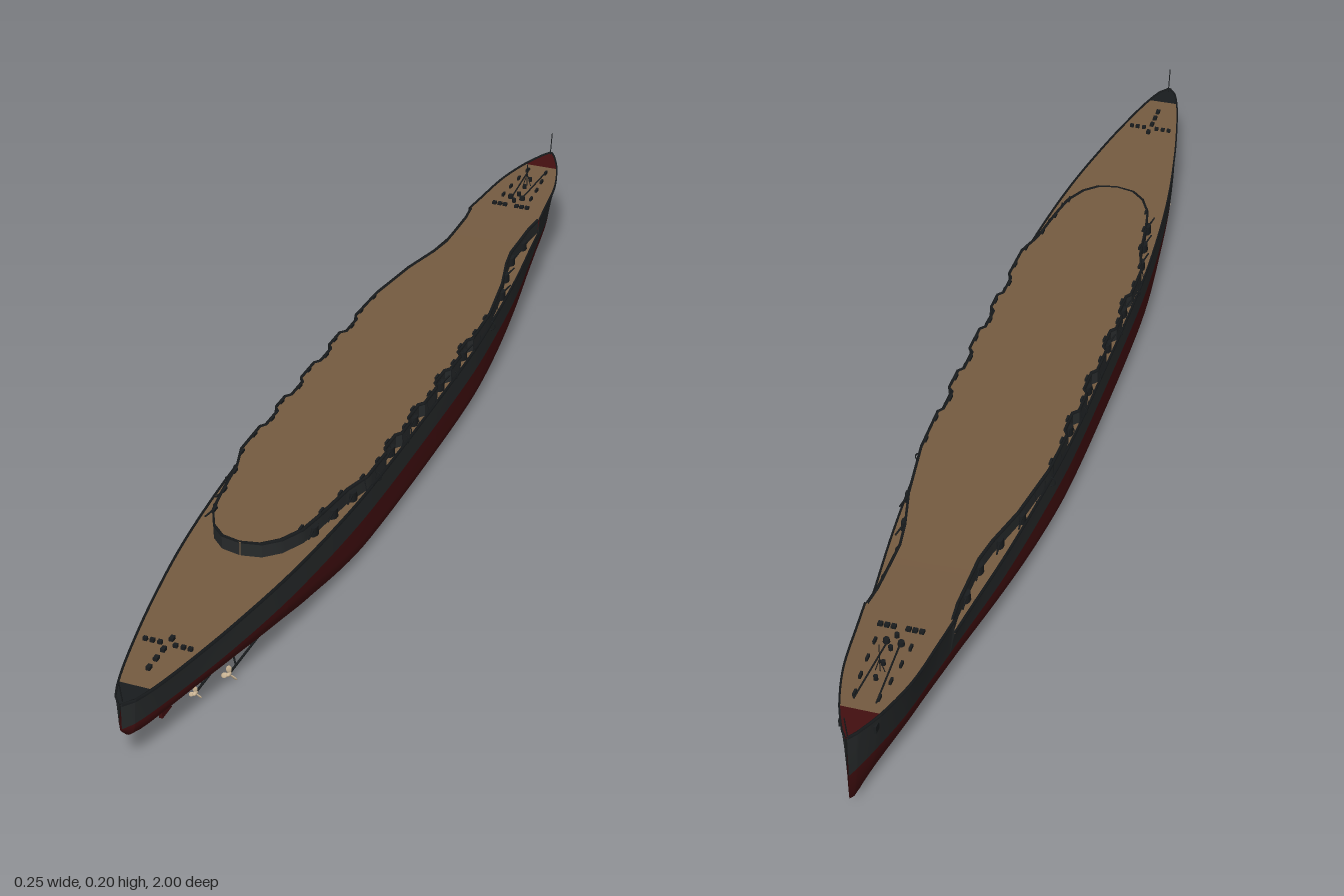
import * as THREE from 'three';
import { toCreasedNormals } from 'three/addons/utils/BufferGeometryUtils.js';

const mat = (name, color, side = THREE.FrontSide) => {
  const m = new THREE.MeshStandardMaterial({ color, side });
  m.name = name;
  return m;
};
const WATERLINE = 0.078, MAIN_DECK = 0.121, STEP = -0.7;

// linear or smooth lookup in a table of [z, value]
function lookup(table, z, smooth = false) {
  const n = table.length;
  if (z <= table[0][0]) return table[0][1];
  if (z >= table[n - 1][0]) return table[n - 1][1];
  let i = 0;
  while (table[i + 1][0] < z) i++;
  const [z0, v0] = table[i], [z1, v1] = table[i + 1], h = z1 - z0, t = (z - z0) / h;
  if (!smooth) return v0 + (v1 - v0) * t;
  const slope = k => {
    const a = table[Math.max(0, k - 1)], b = table[Math.min(n - 1, k + 1)];
    return (b[1] - a[1]) / (b[0] - a[0]);
  };
  const t2 = t * t, t3 = t2 * t;
  return v0 * (2 * t3 - 3 * t2 + 1) + v1 * (3 * t2 - 2 * t3)
    + h * (slope(i) * (t3 - 2 * t2 + t) + slope(i + 1) * (t3 - t2));
}

// hull and deck lines along z (bow at -z)
const BEAM = [[-0.995, 0.002], [-0.98, 0.012], [-0.93, 0.034], [-0.85, 0.056], [-0.75, 0.068], [-0.65, 0.079],
  [-0.5, 0.097], [-0.35, 0.11], [-0.2, 0.119], [0, 0.121], [0.3, 0.119], [0.45, 0.111], [0.6, 0.096],
  [0.75, 0.072], [0.85, 0.052], [0.93, 0.033], [0.98, 0.016], [0.998, 0.002]];
const FLARE = [[-1, 0.55], [-0.85, 0.75], [-0.6, 0.95], [-0.3, 1], [0.5, 1], [0.8, 0.97], [1, 0.8]];
const KEEL = [[-0.995, 0.03], [-0.97, 0.012], [-0.9, 0.005], [-0.82, 0], [0.53, 0], [0.67, 0.014],
  [0.83, 0.036], [0.95, 0.046], [0.98, 0.055], [0.998, 0.074]];
const FULLNESS = [[-1, 1.3], [-0.8, 1.6], [-0.5, 2.8], [-0.2, 6], [0.3, 6], [0.5, 3], [0.7, 2], [1, 2]];
const SHEER = [[-1, 0.156], [-0.85, 0.151], [-0.6, 0.146], [1, 0.146]];
const UPPER = [[-0.7, 0.071], [-0.66, 0.067], [-0.55, 0.067], [-0.5, 0.075], [-0.42, 0.095], [-0.36, 0.104],
  [-0.3, 0.113], [-0.2, 0.116], [-0.19, 0.109], [-0.14, 0.109], [-0.13, 0.118], [-0.08, 0.118], [-0.07, 0.11],
  [-0.02, 0.11], [-0.01, 0.118], [0.05, 0.118], [0.06, 0.11], [0.11, 0.11], [0.12, 0.118], [0.16, 0.118],
  [0.17, 0.11], [0.22, 0.11], [0.23, 0.117], [0.31, 0.116], [0.36, 0.101], [0.45, 0.089], [0.5, 0.08],
  [0.54, 0.06], [0.563, 0.035], [0.57, 0.001]];
const beam = z => Math.max(0.001, lookup(BEAM, z, true));
const sheer = z => lookup(SHEER, z);
const upperHalf = z => (z < STEP ? beam(z) : lookup(UPPER, z));

// evenly spaced stations plus the table's own corners
function stations(z0, z1, table = [], step = 0.02) {
  const zs = table.map(p => p[0]).filter(z => z > z0 && z < z1);
  const n = Math.ceil((z1 - z0) / step);
  for (let i = 0; i <= n; i++) zs.push(z0 + (z1 - z0) * i / n);
  return zs.sort((a, b) => a - b).filter((z, i, a) => i === 0 || z - a[i - 1] > 1e-5);
}

// surface through cross-sections given as [x, y] points
function loft(zs, section) {
  const pos = [], idx = [];
  let n = 0;
  zs.forEach((z, i) => {
    const pts = section(z);
    n = pts.length;
    pts.forEach(([x, y]) => pos.push(x, y, z));
    if (i === 0) return;
    for (let j = 0; j < n - 1; j++) {
      const a = (i - 1) * n + j, b = i * n + j;
      idx.push(a, b, a + 1, b, b + 1, a + 1);
    }
  });
  const g = new THREE.BufferGeometry();
  g.setAttribute('position', new THREE.Float32BufferAttribute(pos, 3));
  g.setIndex(idx);
  g.computeVertexNormals();
  return g;
}

export function createModel() {
  const ship = new THREE.Group();
  ship.name = 'ship';
  const grey = mat('hullGrey', 0x272a2b, THREE.DoubleSide);
  const red = mat('hullRed', 0x430f10, THREE.DoubleSide);
  const wood = mat('deckWood', 0x755b41, THREE.DoubleSide);
  const dark = mat('fittingsDark', 0x191c1e, THREE.DoubleSide);
  const cream = mat('propellerBronze', 0xcdb797);

  const add = (name, geo, m, x = 0, y = 0, z = 0, parent = ship) => {
    const mesh = new THREE.Mesh(geo, m);
    mesh.name = name;
    mesh.position.set(x, y, z);
    parent.add(mesh);
    return mesh;
  };
  const box = (name, w, h, d, m, x, y, z) => add(name, new THREE.BoxGeometry(w, h, d), m, x, y, z);
  const rod = (name, a, b, r, m, r2 = r) => {
    const p = new THREE.Vector3(...a), q = new THREE.Vector3(...b), d = q.clone().sub(p);
    const mesh = add(name, new THREE.CylinderGeometry(r2, r, d.length(), 8), m);
    mesh.position.copy(p).addScaledVector(d, 0.5);
    mesh.quaternion.setFromUnitVectors(new THREE.Vector3(0, 1, 0), d.normalize());
    return mesh;
  };

  // underwater hull
  const hullZ = stations(-0.995, 0.998, BEAM);
  add('lowerHull', loft(hullZ, z => {
    const w = beam(z) * lookup(FLARE, z, true), k = lookup(KEEL, z), e = 2 / lookup(FULLNESS, z, true);
    const pts = [];
    for (let i = -12; i <= 12; i++) {
      const a = -i / 12 * Math.PI / 2;
      pts.push([Math.sign(a) * w * Math.abs(Math.sin(a)) ** e,
        WATERLINE - (WATERLINE - k) * Math.max(0, Math.cos(a)) ** e]);
    }
    return pts;
  }), red);

  // topsides, coping and walls, mirrored
  const sideZ = stations(-0.995, 0.998, [...BEAM, [STEP - 0.002, 0], [STEP, 0]]);
  const upperZ = stations(STEP, 0.57, UPPER);
  const bowZ = stations(-0.995, STEP, BEAM);
  const sides = [['left', 1], ['right', -1]];
  for (const [label, s] of sides) {
    const mirror = pts => (s > 0 ? pts : pts.map(([x, y]) => [-x, y]).reverse());
    add(label + 'Topside', loft(sideZ, z => {
      const b = beam(z), w = b * lookup(FLARE, z, true), top = z < STEP - 0.001 ? sheer(z) : MAIN_DECK + 0.002;
      return mirror([[b, top], [(b + w) / 2, (top + WATERLINE) / 2 + 0.004], [w, WATERLINE]]);
    }), grey);
    add(label + 'UpperWall', toCreasedNormals(loft(upperZ, z => {
      const h = upperHalf(z);
      return mirror([[h, sheer(z)], [h, MAIN_DECK - 0.001]]);
    }), 0.5), grey);
    // dark edge lines along both decks
    const edge = (name, zs, half, y, w) => add(label + name, loft(zs, z => {
      const h = half(z), i = Math.max(0, h - w);
      return mirror([[i, y(z)], [i, y(z) + 0.003], [h + 0.001, y(z) + 0.003], [h + 0.001, y(z) - 0.002]].reverse()).reverse();
    }), dark);
    edge('UpperDeckEdge', upperZ, upperHalf, sheer, 0.003);
    edge('BowEdge', bowZ, beam, sheer, 0.002);
    edge('MainDeckEdge', stations(STEP, 0.998, BEAM), beam, () => MAIN_DECK, 0.002);
  }

  // decks
  const deck = (name, z0, z1, half, y, m, table) => add(name, loft(stations(z0, z1, table), z => {
    const h = half(z);
    return [[-h, y(z)], [h, y(z)]];
  }), m);
  deck('mainDeck', STEP, 0.945, beam, () => MAIN_DECK, wood, BEAM);
  deck('sternTipDeck', 0.945, 0.998, beam, () => MAIN_DECK, dark, BEAM);
  deck('upperDeck', -0.93, 0.57, upperHalf, sheer, wood, [...UPPER, ...BEAM]);
  deck('bowTipDeck', -0.995, -0.93, beam, sheer, red, BEAM);

  // casemate guns and stanchions beside the upper deck
  for (const [label, s] of sides) {
    for (const z of [-0.62, -0.55, -0.48, -0.41, -0.165, -0.045, 0.085, 0.195, 0.35, 0.41, 0.47]) {
      const x = s * (upperHalf(z) + 0.001), fore = z < 0 ? -1 : 1;
      const mount = add(label + 'GunMount', new THREE.CylinderGeometry(0.006, 0.007, 0.016, 10), dark, x, MAIN_DECK + 0.009, z);
      mount.scale.z = 1.6;
      rod(label + 'GunBarrel', [x, 0.133, z], [x + s * 0.005, 0.134, z + fore * 0.035], 0.002, dark, 0.0014);
    }
    for (let z = -0.36; z < 0.34; z += 0.04)
      rod(label + 'Stanchion', [s * (beam(z) - 0.001), MAIN_DECK, z], [s * upperHalf(z), 0.146, z], 0.0009, dark);
    for (const z of [-0.3, -0.1, 0.14, 0.27]) {
      const davit = add(label + 'Davit', new THREE.TorusGeometry(0.009, 0.0012, 6, 12, Math.PI), dark, s * 0.114, 0.123, z);
      davit.rotation.z = -s * Math.PI / 2;
    }
    // low lockers along the upper deck edge
    for (let z = -0.28; z < 0.5; z += 0.06)
      box(label + 'Locker', 0.004, 0.005, 0.014, dark, s * (upperHalf(z) - 0.004), 0.149, z);
    // forecastle fittings and anchor chains
    for (const z of [-0.9, -0.86, -0.82, -0.78])
      box(label + 'ForeBollard', 0.004, 0.006, 0.012, dark, s * (beam(z) * 0.45), sheer(z) + 0.003, z);
    for (const x of [0.012, 0.023, 0.034])
      box(label + 'Breakwater', 0.008, 0.006, 0.008, dark, s * x, 0.151, -0.74);
    rod(label + 'AnchorChain', [s * 0.01, 0.151, -0.77], [s * 0.018, 0.154, -0.91], 0.0015, dark);
    add(label + 'Capstan', new THREE.CylinderGeometry(0.005, 0.006, 0.008, 10), dark, s * 0.012, 0.153, -0.775);
    box(label + 'Anchor', 0.004, 0.014, 0.014, dark, s * beam(-0.94) * 0.92, 0.134, -0.94);
    // quarterdeck fittings
    for (const x of [0.013, 0.026, 0.038])
      box(label + 'AftBollard', 0.007, 0.006, 0.006, dark, s * x, MAIN_DECK + 0.003, 0.835);
  }
  for (const z of [-0.76, -0.79, -0.825, -0.86])
    add('foreVent', new THREE.CylinderGeometry(0.004, 0.004, 0.008, 8), dark, 0, sheer(z) + 0.004, z);
  for (const z of [0.82, 0.85, 0.875, 0.9])
    box('aftHatch', 0.007, 0.006, 0.01, dark, 0, MAIN_DECK + 0.003, z);

  // flagstaffs
  rod('bowStaff', [0, 0.153, -0.988], [0, 0.2, -0.997], 0.001, dark);
  rod('foreStaff', [0, 0.15, -0.84], [0, 0.205, -0.84], 0.001, dark, 0.0007);
  for (const [label, s] of sides) rod(label + 'StaffStay', [s * 0.008, 0.15, -0.84], [0, 0.176, -0.84], 0.0008, dark);
  rod('sternStaff', [0, MAIN_DECK, 0.988], [0, 0.168, 0.998], 0.001, dark);

  // rudder
  const blade = new THREE.Shape([[0.838, 0.008], [0.87, 0.008], [0.874, 0.03], [0.862, 0.042], [0.838, 0.042]]
    .map(([z, y]) => new THREE.Vector2(-z, y)));
  const rudder = add('rudder', new THREE.ExtrudeGeometry(blade, { depth: 0.006, bevelEnabled: false }), red, -0.003, 0, 0);
  rudder.rotation.y = Math.PI / 2;

  // shafts, struts and three-bladed propellers
  for (const [label, s] of sides) {
    for (const [x, y, z, r] of [[0.055, 0.018, 0.74, 0.016], [0.025, 0.014, 0.8, 0.013]]) {
      rod(label + 'Shaft', [s * (x + 0.003), y, 0.5], [s * x, y, z], 0.002, dark);
      rod(label + 'Strut', [s * x, y, z - 0.025], [s * (x - 0.008), 0.045, z - 0.03], 0.0016, dark);
      const prop = new THREE.Group();
      prop.name = label + 'Propeller';
      prop.position.set(s * x, y, z);
      ship.add(prop);
      add('hub', new THREE.SphereGeometry(0.0035, 10, 8), cream, 0, 0, 0, prop).scale.z = 2;
      for (let i = 0; i < 3; i++) {
        const a = Math.PI / 2 + i * Math.PI * 2 / 3;
        const b = add('blade', new THREE.SphereGeometry(1, 10, 8), cream, Math.cos(a) * r * 0.58, Math.sin(a) * r * 0.58, 0, prop);
        b.scale.set(r * 0.42, r * 0.28, 0.0012);
        b.rotation.set(0, 0, a);
        b.rotateX(s * 0.5);
      }
    }
  }
  return ship;
}
